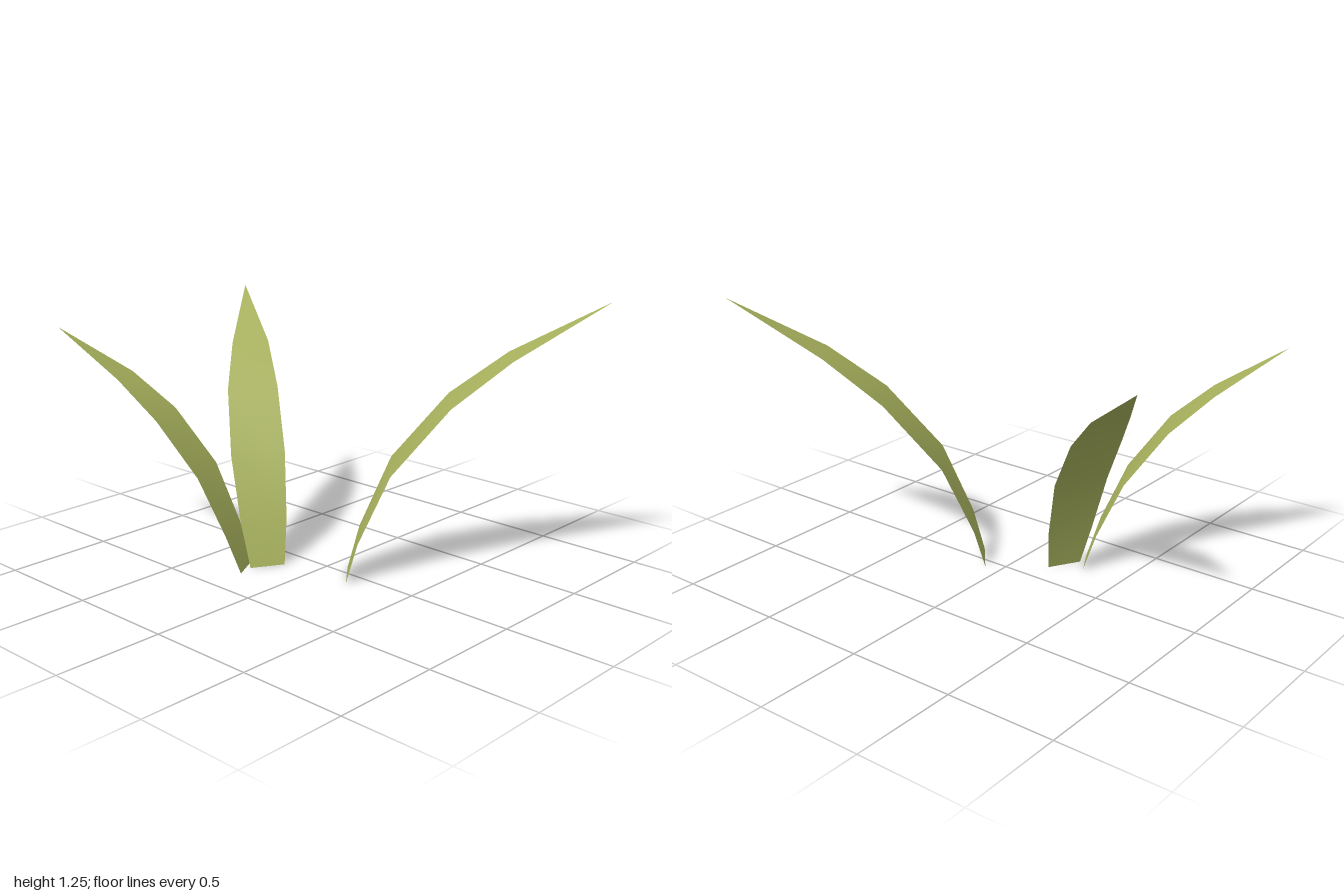
import * as THREE from 'three';

// Each blade: a horizontal side direction [x, z] and spine rows [x, y, z, width] from base to tip.
const BLADES = [
  { name: 'rightwardTallBlade', side: [0.64, 0.77], spine: [
    [0.138, 0, 0.018, 0.19], [0.173, 0.19, -0.02, 0.245], [0.275, 0.51, -0.115, 0.3],
    [0.465, 0.81, -0.278, 0.287], [0.665, 1.01, -0.435, 0.21], [0.995, 1.255, -0.69, 0]] },
  { name: 'backBlade', side: [0.51, -0.86], spine: [
    [-0.198, 0, 0.185, 0.16], [-0.25, 0.2, 0.155, 0.215], [-0.348, 0.485, 0.09, 0.253],
    [-0.51, 0.745, -0.038, 0.238], [-0.665, 0.92, -0.175, 0.175], [-0.92, 1.138, -0.39, 0]] },
  { name: 'frontBlade', side: [-0.48, -0.877], spine: [
    [-0.26, 0, 0.26, 0.16], [-0.31, 0.185, 0.293, 0.21], [-0.415, 0.45, 0.345, 0.25],
    [-0.573, 0.7, 0.44, 0.24], [-0.738, 0.868, 0.53, 0.172], [-1, 1.075, 0.69, 0]] },
];

// Flat-across strip that widens along the spine and closes to a point.
function bladeGeometry(spine, [sx, sz]) {
  const positions = [], index = [];
  const last = spine.length - 1;
  spine.forEach(([x, y, z, w], i) => {
    const h = w / 2;
    positions.push(x - sx * h, y, z - sz * h);
    if (i === last) return; // the tip is a single point
    positions.push(x + sx * h, y, z + sz * h);
    const a = i * 2;
    index.push(a, a + 1, a + 2);
    if (i < last - 1) index.push(a + 1, a + 3, a + 2);
  });
  const geometry = new THREE.BufferGeometry();
  geometry.setAttribute('position', new THREE.Float32BufferAttribute(positions, 3));
  geometry.setIndex(index);
  geometry.computeVertexNormals();
  return geometry;
}

export function createModel() {
  const group = new THREE.Group();
  group.name = 'grassTuft';
  const leafGreen = new THREE.MeshStandardMaterial({ color: 0xaab45e, side: THREE.DoubleSide });
  leafGreen.name = 'leafGreen';
  for (const { name, side, spine } of BLADES) {
    const blade = new THREE.Mesh(bladeGeometry(spine, side), leafGreen);
    blade.name = name;
    group.add(blade);
  }
  return group;
}
